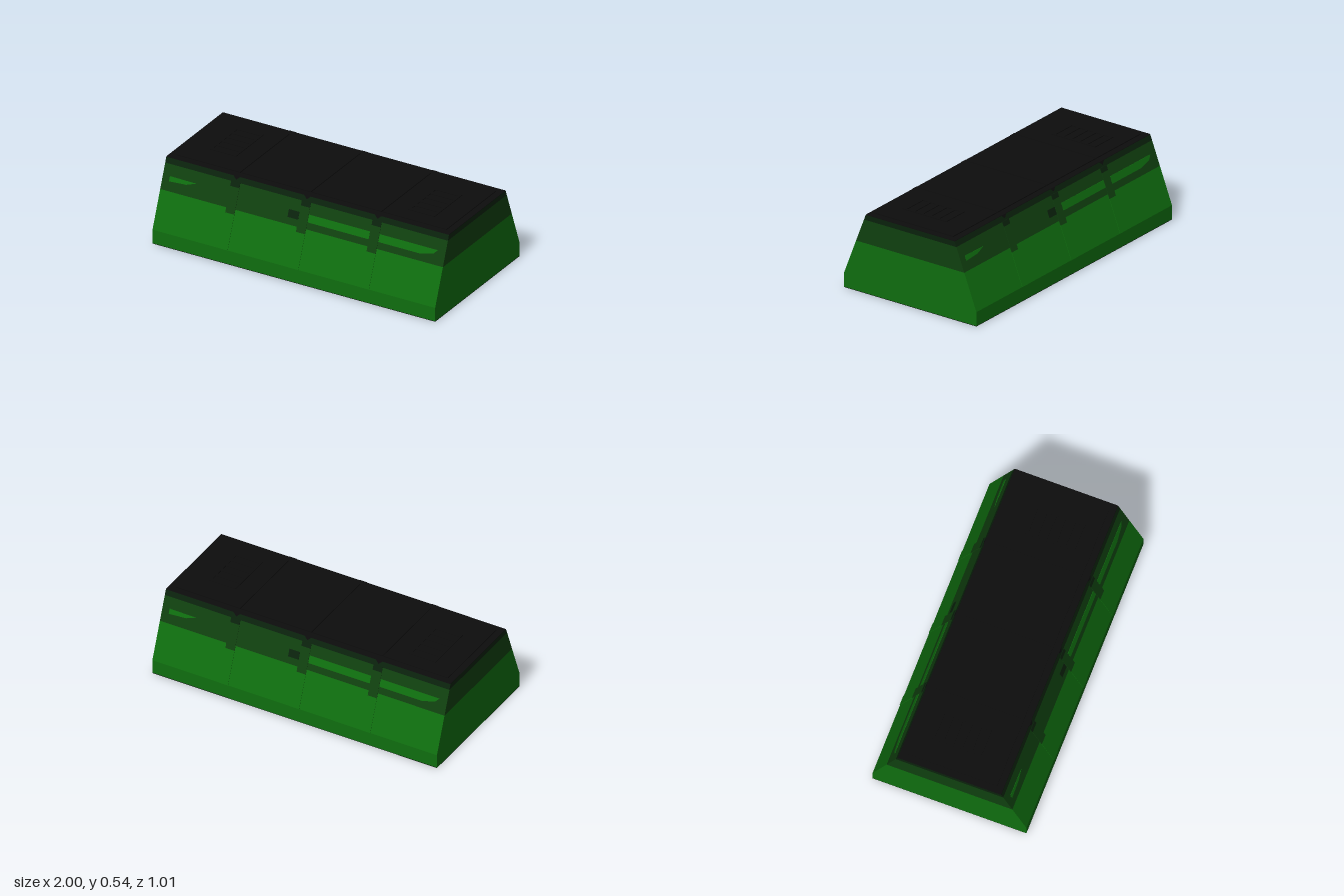
import * as THREE from 'three';

const mat = (name, color) => {
  const m = new THREE.MeshStandardMaterial({ color });
  m.name = name;
  return m;
};

export function createModel() {
  const root = new THREE.Group();
  root.name = 'carriageBody';
  const green = mat('green', 0x0f6e0f);
  const darkGreen = mat('darkGreen', 0x10400f);
  const deepGreen = mat('deepGreen', 0x0a220c);
  const black = mat('black', 0x0d0d0d);

  // Half width of the body at a given height
  const halfWidth = (y) => (y <= 0.095 ? 0.5 : 0.5 - ((y - 0.095) * 0.165) / 0.43);

  function add(parent, name, geometry, material, x = 0, y = 0, z = 0) {
    const mesh = new THREE.Mesh(geometry, material);
    mesh.name = name;
    mesh.position.set(x, y, z);
    parent.add(mesh);
    return mesh;
  }

  // Horizontal band of the body, extruded along x
  function band(name, heights, material) {
    const right = heights.map((y) => new THREE.Vector2(halfWidth(y), y));
    const left = heights.map((y) => new THREE.Vector2(-halfWidth(y), y)).reverse();
    const g = new THREE.ExtrudeGeometry(new THREE.Shape([...right, ...left]), { depth: 2, bevelEnabled: false });
    g.translate(0, 0, -1).rotateY(Math.PI / 2);
    add(root, name, g, material);
  }
  band('lowerBody', [0.003, 0.095, 0.333], green);
  band('windowBand', [0.333, 0.488], darkGreen);
  band('roofEdge', [0.488, 0.522], deepGreen);
  band('roof', [0.522, 0.525], black);
  add(root, 'underside', new THREE.BoxGeometry(2, 0.003, 1), black, 0, 0.0015, 0);

  // Thin plate lying on the sloping side wall, outlined in x and y
  function plate(parent, name, points, material, thickness = 0.002) {
    const shape = new THREE.Shape(points.map(([x, y]) => new THREE.Vector2(x, y)));
    const g = new THREE.ExtrudeGeometry(shape, { depth: thickness, bevelEnabled: false });
    const p = g.attributes.position;
    for (let i = 0; i < p.count; i++) p.setZ(i, p.getZ(i) + halfWidth(p.getY(i)));
    g.computeVertexNormals();
    add(parent, name, g, material);
  }
  const rect = (x0, x1, y0, y1) => [[x0, y0], [x1, y0], [x1, y1], [x0, y1]];

  // The second side is the first one turned half way round
  for (const side of [0, 1]) {
    const wall = new THREE.Group();
    wall.name = side ? 'backWall' : 'frontWall';
    wall.rotation.y = side * Math.PI;
    root.add(wall);

    // Pillars over the panel joints
    for (const x of [-0.5, 0, 0.5]) {
      const a = x - 0.032, b = x + 0.032;
      plate(wall, 'pillarLower', rect(a, b, 0.096, 0.305), green, 0.003);
      plate(wall, 'pillarMiddle', rect(a, b, 0.305, 0.46), darkGreen, 0.003);
      plate(wall, 'pillarUpper', rect(a, b, 0.46, 0.49), deepGreen, 0.003);
      plate(wall, 'pillarCap', [[x, 0.503], [x + 0.025, 0.525], [x - 0.025, 0.525]], black, 0.003);
    }

    // Bright stripes and the small dark hatch
    plate(wall, 'middleStripe', rect(0.034, 0.466, 0.375, 0.42), green);
    plate(wall, 'rightStripe',
      [[0.534, 0.375], [0.83, 0.375], [0.92, 0.395], [0.945, 0.42], [0.534, 0.42]], green);
    plate(wall, 'leftStripe', [[-0.95, 0.39], [-0.83, 0.397], [-0.765, 0.418], [-0.95, 0.42]], green);
    plate(wall, 'hatch', rect(-0.108, -0.034, 0.375, 0.42), deepGreen);
  }

  // Raised roof panels with narrow joints
  for (let i = 0; i < 4; i++) {
    const x0 = [-0.957, -0.497, 0.003, 0.503][i];
    const x1 = [-0.503, -0.003, 0.497, 0.957][i];
    add(root, 'roofPanel', new THREE.BoxGeometry(x1 - x0, 0.006, 0.586), black, (x0 + x1) / 2, 0.528, 0);
  }

  // Roof vents with slats
  for (const s of [-1, 1]) {
    const vent = new THREE.Group();
    vent.name = 'roofVent';
    vent.position.set(0.72 * s, 0.533, 0.03 * s);
    root.add(vent);
    for (const e of [-1, 1]) {
      add(vent, 'ventFrameSide', new THREE.BoxGeometry(0.012, 0.005, 0.33), black, 0.087 * e, 0, 0);
    }
    for (let i = 0; i < 6; i++) {
      add(vent, 'ventSlat', new THREE.BoxGeometry(0.162, 0.005, 0.025), black, 0, 0, -0.1525 + i * 0.061);
    }
  }
  return root;
}
